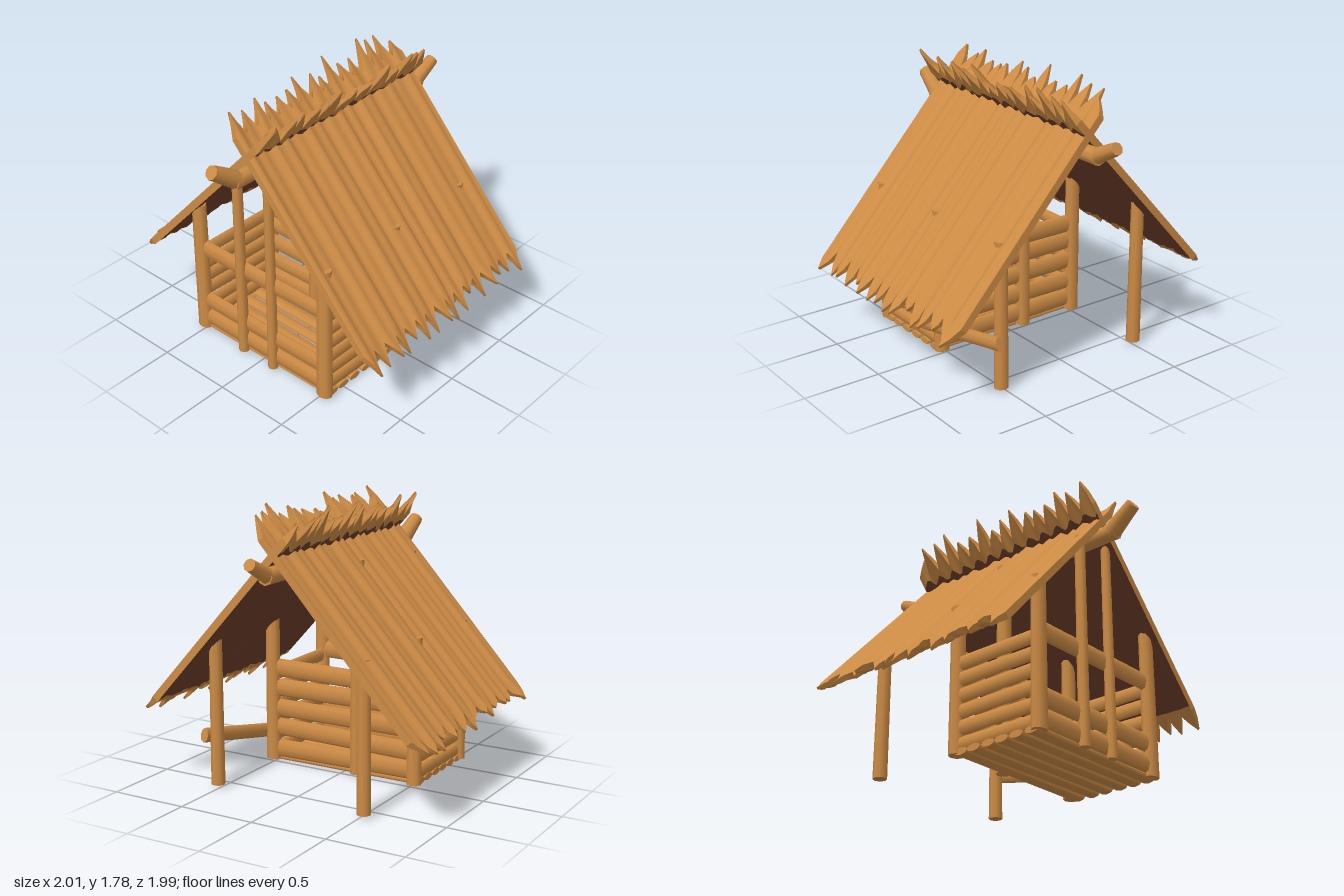
import * as THREE from 'three';

const wood = new THREE.MeshStandardMaterial({ color: 0xcc8b45, side: THREE.DoubleSide });
wood.name = 'wood';
const underside = new THREE.MeshStandardMaterial({ color: 0x6e3f2a, side: THREE.DoubleSide });
underside.name = 'dark thatch';

// seeded jitter in -1..1
let seed = 7;
const jitter = () => {
  seed = (seed * 16807) % 2147483647;
  return (seed / 2147483647) * 2 - 1;
};

function add(group, name, geometry, material = wood) {
  const mesh = new THREE.Mesh(geometry, material);
  mesh.name = name;
  group.add(mesh);
  return mesh;
}

// log between two points; w and d squash its section along local x and z
function log(group, name, from, to, r0, r1 = r0, w = 1, d = 1) {
  const a = new THREE.Vector3(...from), b = new THREE.Vector3(...to);
  const dir = b.clone().sub(a);
  const mesh = add(group, name, new THREE.CylinderGeometry(r1, r0, dir.length(), 8));
  mesh.position.copy(a).add(b).multiplyScalar(0.5);
  mesh.quaternion.setFromUnitVectors(new THREE.Vector3(0, 1, 0), dir.normalize());
  mesh.scale.set(w, 1, d);
  return mesh;
}

// smooth surface through a grid of points, columns[i][j]
function sheet(columns, flip) {
  const rows = columns[0].length, index = [];
  for (let i = 0; i < columns.length - 1; i++) {
    for (let j = 0; j < rows - 1; j++) {
      const a = i * rows + j, b = a + rows;
      if (flip) index.push(a, a + 1, b, b, a + 1, b + 1);
      else index.push(a, b, a + 1, b, b + 1, a + 1);
    }
  }
  const g = new THREE.BufferGeometry();
  g.setAttribute('position', new THREE.Float32BufferAttribute(columns.flat(2), 3));
  g.setIndex(index);
  g.computeVertexNormals();
  return g;
}

// one corrugated roof slope with ragged teeth at the ridge and the eaves
function roofSlope(side) {
  const group = new THREE.Group();
  group.name = side > 0 ? 'leftRoof' : 'rightRoof';
  const teeth = 16, steps = 4, count = teeth * steps;
  const outer = [], inner = [], topTeeth = [], lowTeeth = [], topRim = [], lowRim = [];
  let topTip, lowTip, curl, zShift;
  // s runs down the slope, h is height off its centre plane
  const point = (s, h, z) => [side * (0.673 * s + 0.74 * h), 1.515 - 0.74 * s + 0.673 * h, z];
  for (let i = 0; i <= count; i++) {
    if (i % steps === 0) {
      topTip = 0.15 + 0.06 * jitter();
      lowTip = 0.11 + 0.045 * jitter();
      curl = 0.02 * jitter();
      zShift = 0.018 * jitter();
    }
    const k = 1 - Math.abs((i % steps) - 2) / 2;
    const z = 0.725 - (1.47 * i) / count;
    const tipZ = z + zShift * k;
    const wave = 0.008 * Math.sin(i * 1.57) + 0.008 * Math.sin(i * 0.61 + side) + 0.004 * jitter();
    const o = 0.02 + wave, n = -0.026 + wave * 0.6;
    const s0 = -0.12 - topTip * k, s1 = 1.31 + lowTip * k;
    const m0 = -0.06 + 0.025 * Math.sin(i * 1.3), m1 = 1.28;
    const tipO = o + curl * k, tipN = n + 0.03 * k + curl * k;
    outer.push([point(s0, tipO, tipZ), point(-0.04, o, z), point(0.6, o, z), point(1.25, o, z), point(s1, tipO, tipZ)]);
    inner.push([point(m0, n, z), point(0.6, n, z), point(m1, n, z)]);
    topTeeth.push([point(s0, tipN, tipZ), point(m0, n, z)]);
    lowTeeth.push([point(m1, n, z), point(s1, tipN, tipZ)]);
    topRim.push([point(s0, tipO, tipZ), point(s0, tipN, tipZ)]);
    lowRim.push([point(s1, tipO, tipZ), point(s1, tipN, tipZ)]);
  }
  add(group, 'thatch', sheet(outer, side > 0));
  add(group, 'thatchUnderside', sheet(inner, side < 0), underside);
  add(group, 'ridgeTeeth', sheet(topTeeth, side < 0));
  add(group, 'eavesTeeth', sheet(lowTeeth, side < 0));
  add(group, 'ridgeRim', sheet(topRim, side < 0));
  add(group, 'eavesRim', sheet(lowRim, side > 0));
  // closed gable edges
  for (const i of [0, count]) {
    const o = outer[i], n = [topTeeth[i][0], inner[i][0], inner[i][1], inner[i][2], lowTeeth[i][1]];
    add(group, 'gableEdge', sheet([o, n], (i === 0) === (side > 0)));
  }
  return group;
}

export function createModel() {
  const model = new THREE.Group();
  model.name = 'hut';

  // main posts
  for (const x of [-0.515, 0.52]) {
    log(model, 'frontPost', [x, 0.015, 0.64], [x, 0.95, 0.64], 0.054, 0.05, 1, 0.8);
    log(model, 'middlePost', [x, 0.015, 0.025], [x, 0.95, 0.025], 0.05, 0.047, 1, 0.9);
    log(model, 'backPost', [x, 0.02, -0.6], [x, 0.95, -0.6], 0.044, 0.04);
  }

  // tall thin posts
  log(model, 'doorPost', [-0.147, 0.015, 0.66], [-0.147, 1.36, 0.66], 0.035, 0.032);
  log(model, 'doorPost', [0.107, 0.015, 0.66], [0.107, 1.39, 0.66], 0.033, 0.029);
  log(model, 'rearCentrePost', [-0.11, 0.015, 0.025], [-0.11, 1.39, 0.025], 0.047, 0.044);

  // front and rear wall planks
  const rows = [0.095, 0.228, 0.365, 0.503, 0.627];
  rows.forEach((y, i) => {
    const t = 0.008 * jitter();
    log(model, 'rearPlank', [-0.5, y - t, 0.03], [0.5, y + t, 0.03], 0.062, 0.059, 1, 0.45);
    if (i !== 2 && i !== 3) {
      log(model, 'frontPlank', [-0.5, y, 0.635], [0.5, y, 0.635], 0.063, 0.06, 1, 0.45);
    }
  });

  // side wall planks
  for (const x of [-0.515, 0.515]) {
    for (let i = 0; i < 6; i++) {
      const y = 0.075 + i * 0.102, t = 0.006 * jitter();
      log(model, 'sidePlank', [x, y - t, 0.04], [x, y + t, 0.63], 0.048, 0.046, 0.55, 1);
    }
  }

  // floor planks
  for (let i = 0; i < 6; i++) {
    const z = 0.075 + i * 0.105, t = 0.006 * jitter();
    log(model, 'floorPlank', [-0.54, 0.025, z - t], [0.55, 0.022, z + t], 0.05, 0.047, 0.45, 1);
  }

  // sloping rail on the left side
  log(model, 'sideRail', [0.575, 0.17, 0.14], [0.575, 0.34, -0.66], 0.046, 0.046, 0.6, 1);

  // ridge pole with upturned ends
  log(model, 'ridgePole', [0, 1.405, 0.83], [0, 1.405, -0.83], 0.052);
  log(model, 'ridgePoleFrontEnd', [-0.005, 1.4, 0.79], [-0.018, 1.525, 0.972], 0.058, 0.044);
  log(model, 'ridgePoleBackEnd', [0, 1.4, -0.79], [0, 1.495, -0.978], 0.05, 0.039);

  // roof
  model.add(roofSlope(1), roofSlope(-1));
  return model;
}
